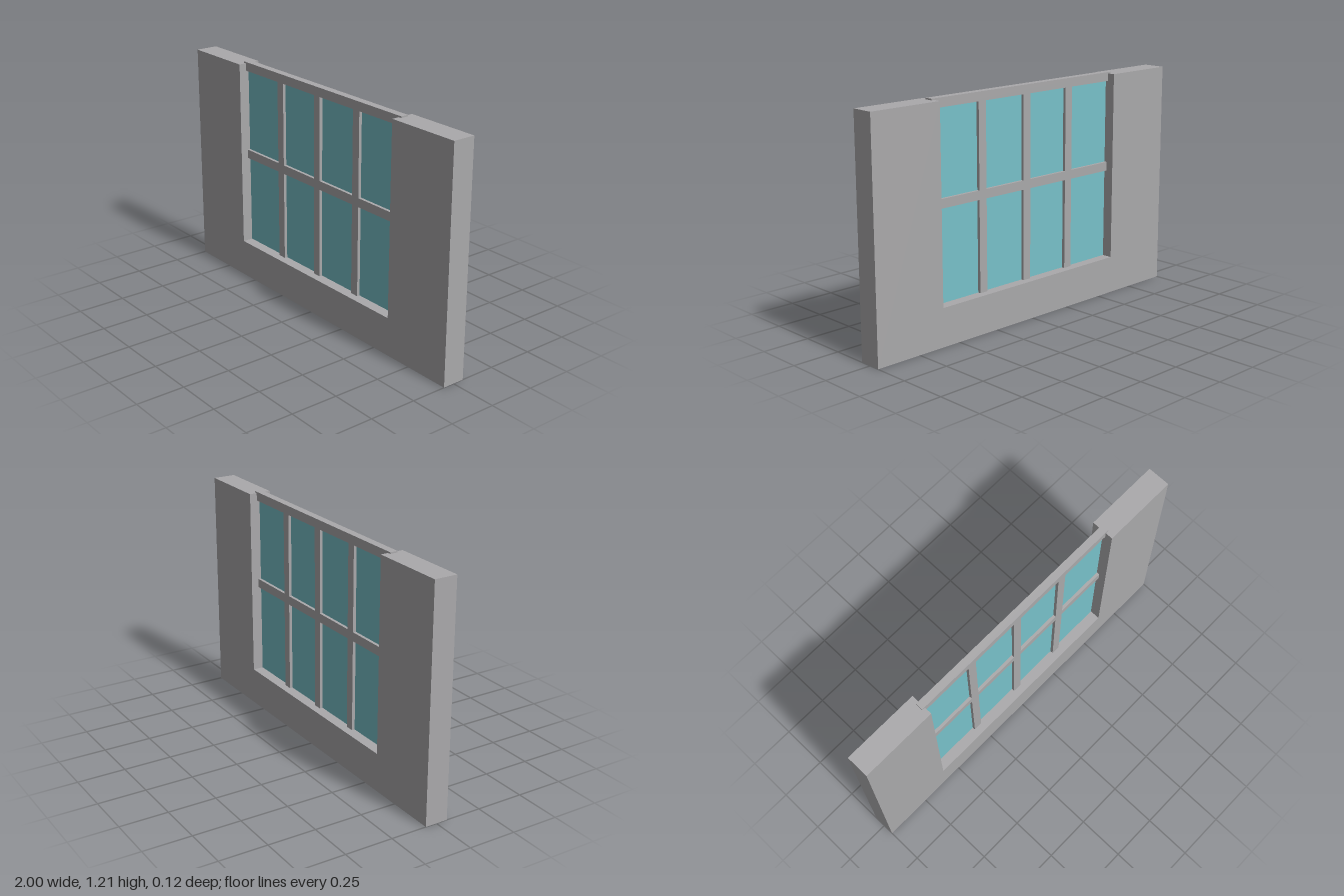
import * as THREE from 'three';

export function createModel() {
  const model = new THREE.Group();
  model.name = 'windowWall';

  const wallGrey = new THREE.MeshStandardMaterial({ color: 0xaaa9ab });
  wallGrey.name = 'wallGrey';
  const glassBlue = new THREE.MeshStandardMaterial({ color: 0x78c1c9 });
  glassBlue.name = 'glassBlue';

  const addBox = (name, material, w, h, d, x, y) => {
    const mesh = new THREE.Mesh(new THREE.BoxGeometry(w, h, d), material);
    mesh.name = name;
    mesh.position.set(x, y, 0);
    model.add(mesh);
  };

  // U-shaped wall, open at the top
  const outline = new THREE.Shape([
    [-1, 0], [1, 0], [1, 1.2], [0.6, 1.2],
    [0.6, 0.2], [-0.6, 0.2], [-0.6, 1.2], [-1, 1.2],
  ].map(([x, y]) => new THREE.Vector2(x, y)));
  const wallGeometry = new THREE.ExtrudeGeometry(outline, { depth: 0.12, bevelEnabled: false });
  wallGeometry.translate(0, 0, -0.06);
  const wall = new THREE.Mesh(wallGeometry, wallGrey);
  wall.name = 'wall';
  model.add(wall);

  // Thin pane filling the opening
  addBox('glass', glassBlue, 1.2, 0.98, 0.008, 0, 0.69);

  // Bars: a top rail let into the wall, one crossbar, three uprights
  const bar = 0.047;
  const depth = 0.04;
  addBox('topRail', wallGrey, 1.234, bar, depth, 0, 1.184);
  addBox('crossbar', wallGrey, 1.2, bar, depth, 0, 0.7);
  for (const x of [-0.3, 0, 0.3]) {
    addBox('upright', wallGrey, bar, 0.98, depth, x, 0.69);
  }

  return model;
}
